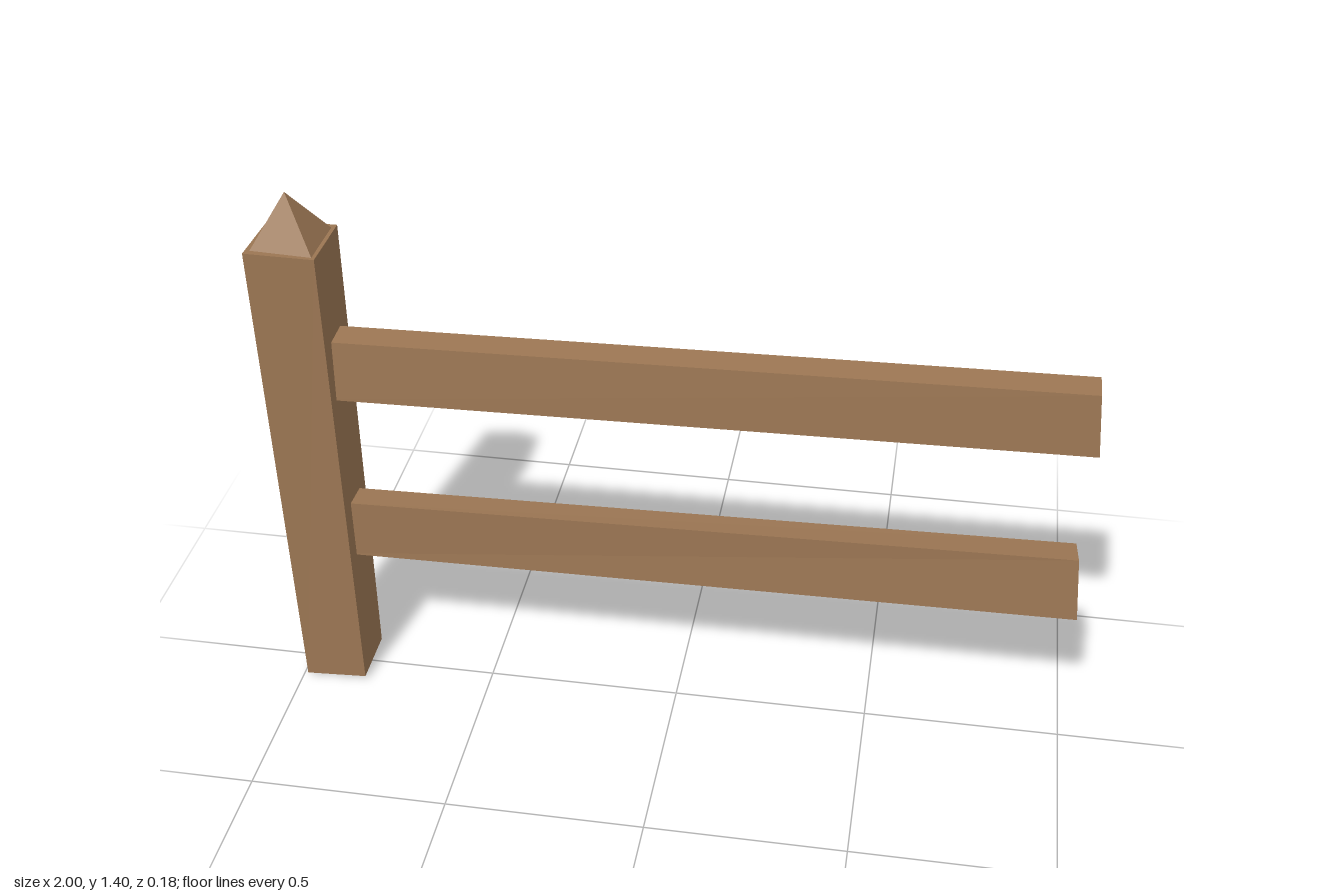
import * as THREE from 'three';

const wood = new THREE.MeshStandardMaterial({ color: 0x9b7653, flatShading: true });

// Hand-hewn beam: a box whose eight corners are moved.
// Corner order: x- then x+, in each bottom then top, in each back then front.
function beam(name, corners) {
  const geometry = new THREE.BoxGeometry(1, 1, 1);
  const p = geometry.attributes.position;
  for (let i = 0; i < p.count; i++) {
    const k = (p.getX(i) > 0 ? 4 : 0) + (p.getY(i) > 0 ? 2 : 0) + (p.getZ(i) > 0 ? 1 : 0);
    p.setXYZ(i, ...corners[k]);
  }
  geometry.computeVertexNormals();
  const mesh = new THREE.Mesh(geometry, wood);
  mesh.name = name;
  return mesh;
}

export function createModel() {
  const group = new THREE.Group();
  group.name = 'fenceSection';

  // Upright post, slightly crooked
  group.add(beam('post', [
    [-0.995, 0, -0.09], [-0.99, 0.003, 0.08], [-1, 1.275, -0.09], [-1, 1.28, 0.09],
    [-0.83, 0.015, -0.075], [-0.83, 0.012, 0.08], [-0.83, 1.275, -0.092], [-0.83, 1.275, 0.085],
  ]));

  // Pyramid cap
  const capGeometry = new THREE.ConeGeometry(0.079 * Math.SQRT2, 0.13, 4);
  capGeometry.rotateY(Math.PI / 4);
  const cap = new THREE.Mesh(capGeometry, wood);
  cap.name = 'postCap';
  cap.position.set(-0.915, 1.335, 0);
  group.add(cap);

  // Rails, rising a little toward the free end
  group.add(beam('upperRail', [
    [-0.87, 0.865, -0.035], [-0.87, 0.868, 0.048], [-0.87, 1.03, -0.035], [-0.87, 1.026, 0.038],
    [0.99, 0.896, -0.035], [0.995, 0.902, 0.05], [0.98, 1.068, -0.032], [0.98, 1.064, 0.042],
  ]));
  group.add(beam('lowerRail', [
    [-0.87, 0.383, -0.038], [-0.87, 0.388, 0.036], [-0.87, 0.546, -0.038], [-0.87, 0.55, 0.036],
    [0.995, 0.42, -0.054], [1, 0.42, 0.048], [0.98, 0.585, -0.042], [0.985, 0.592, 0.036],
  ]));

  return group;
}
